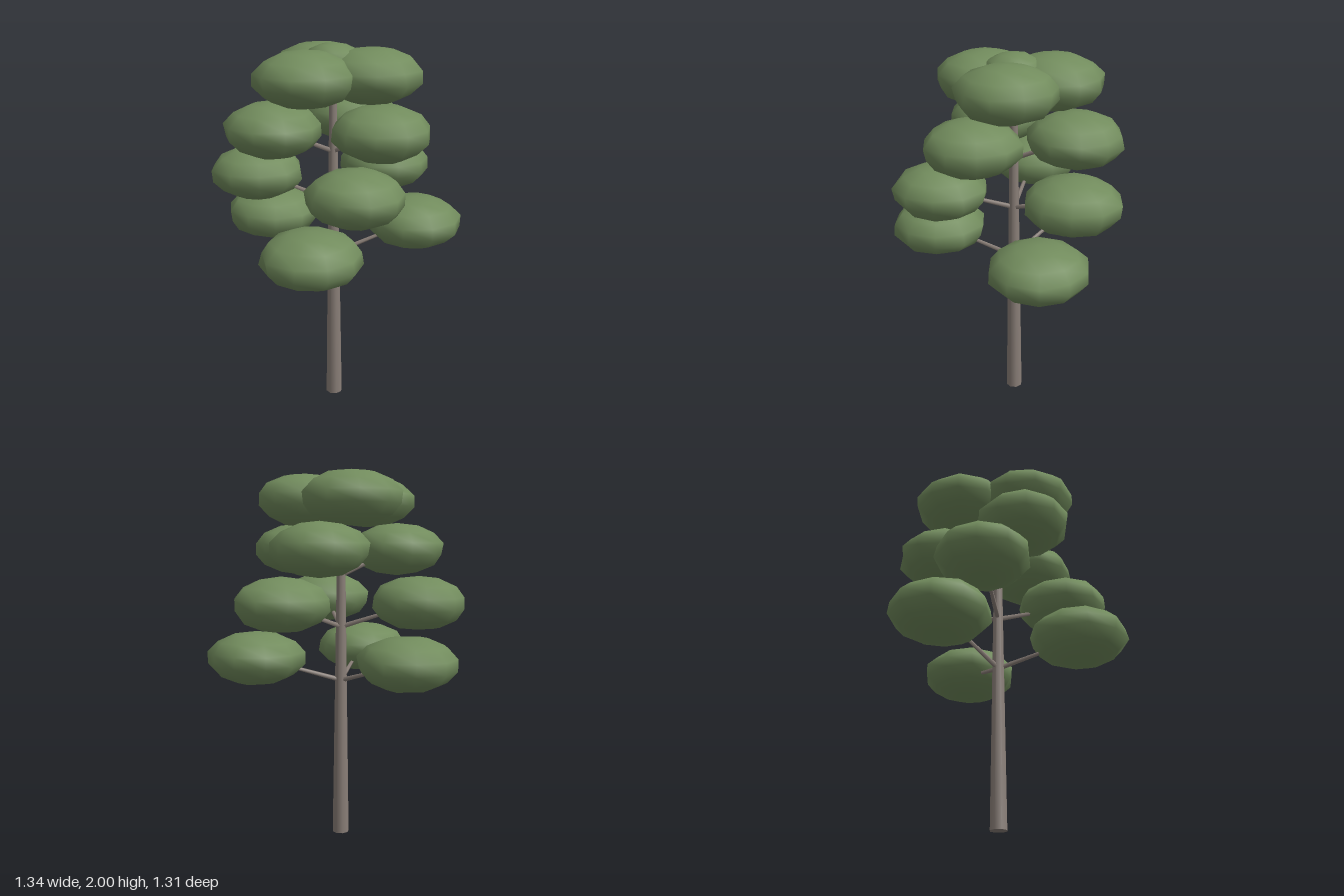
import * as THREE from 'three';
import { mergeVertices } from 'three/addons/utils/BufferGeometryUtils.js';

const bark = new THREE.MeshStandardMaterial({ color: 0x8a7f78 });
bark.name = 'bark';
const leaf = new THREE.MeshStandardMaterial({ color: 0x728c5d });
leaf.name = 'leaf green';

const AXIS = { x: -0.055, z: 0.01 };

function seeded(seed) {
  let s = seed;
  return () => (s = (s * 16807) % 2147483647) / 2147483647;
}

// Flattened, slightly irregular low-poly ball with smooth normals
function clumpGeometry(radius, height, random) {
  let geo = new THREE.SphereGeometry(1, 10, 7);
  geo.deleteAttribute('uv');
  geo.deleteAttribute('normal');
  geo = mergeVertices(geo, 1e-4);
  const p = geo.attributes.position;
  for (let i = 0; i < p.count; i++) {
    const k = 0.97 + random() * 0.08;
    const kv = 0.98 + random() * 0.03;
    p.setXYZ(i, p.getX(i) * radius * k, p.getY(i) * height * kv, p.getZ(i) * radius * k);
  }
  geo.rotateY(random() * 0.6);
  geo.computeVertexNormals();
  return geo;
}

function branchBetween(from, to) {
  const dir = to.clone().sub(from);
  const mesh = new THREE.Mesh(new THREE.CylinderGeometry(0.007, 0.014, dir.length(), 5), bark);
  mesh.position.copy(from).addScaledVector(dir, 0.5);
  mesh.quaternion.setFromUnitVectors(new THREE.Vector3(0, 1, 0), dir.normalize());
  mesh.name = 'branch';
  return mesh;
}

export function createModel() {
  const tree = new THREE.Group();
  tree.name = 'tree';
  const random = seeded(4711);

  // Tapered trunk
  const trunk = new THREE.Mesh(new THREE.CylinderGeometry(0.018, 0.046, 1.9, 8), bark);
  trunk.position.set(AXIS.x, 0.95, AXIS.z);
  trunk.name = 'trunk';
  tree.add(trunk);

  // Tiers of three clumps, each given as [x, z]
  const tiers = [
    { y: 1.005, r: 0.26, clumps: [[0.41, 0], [-0.27, 0.39], [-0.31, -0.39]] },
    { y: 1.3, r: 0.252, clumps: [[-0.05, 0.405], [0.305, -0.205], [-0.425, -0.205]] },
    { y: 1.58, r: 0.252, clumps: [[-0.375, 0.03], [0.125, 0.265], [0.12, -0.27]] },
    { y: 1.84, r: 0.262, clumps: [[-0.225, 0.115], [0.125, 0.09], [-0.06, -0.205]] },
  ];
  tiers.forEach(({ y, r, clumps }, t) => {
    const tier = new THREE.Group();
    tier.name = `tier${t + 1}`;
    for (const [x, z] of clumps) {
      const clump = new THREE.Mesh(clumpGeometry(r, 0.143, random), leaf);
      clump.position.set(x, y, z);
      clump.name = 'leafClump';
      tier.add(clump, branchBetween(
        new THREE.Vector3(AXIS.x, y - 0.14, AXIS.z),
        new THREE.Vector3(x, y, z)));
    }
    tree.add(tier);
  });

  // Small crown at the tip
  const crown = new THREE.Mesh(clumpGeometry(0.16, 0.1, random), leaf);
  crown.position.set(AXIS.x, 1.9, AXIS.z);
  crown.name = 'crown';
  tree.add(crown);

  return tree;
}
